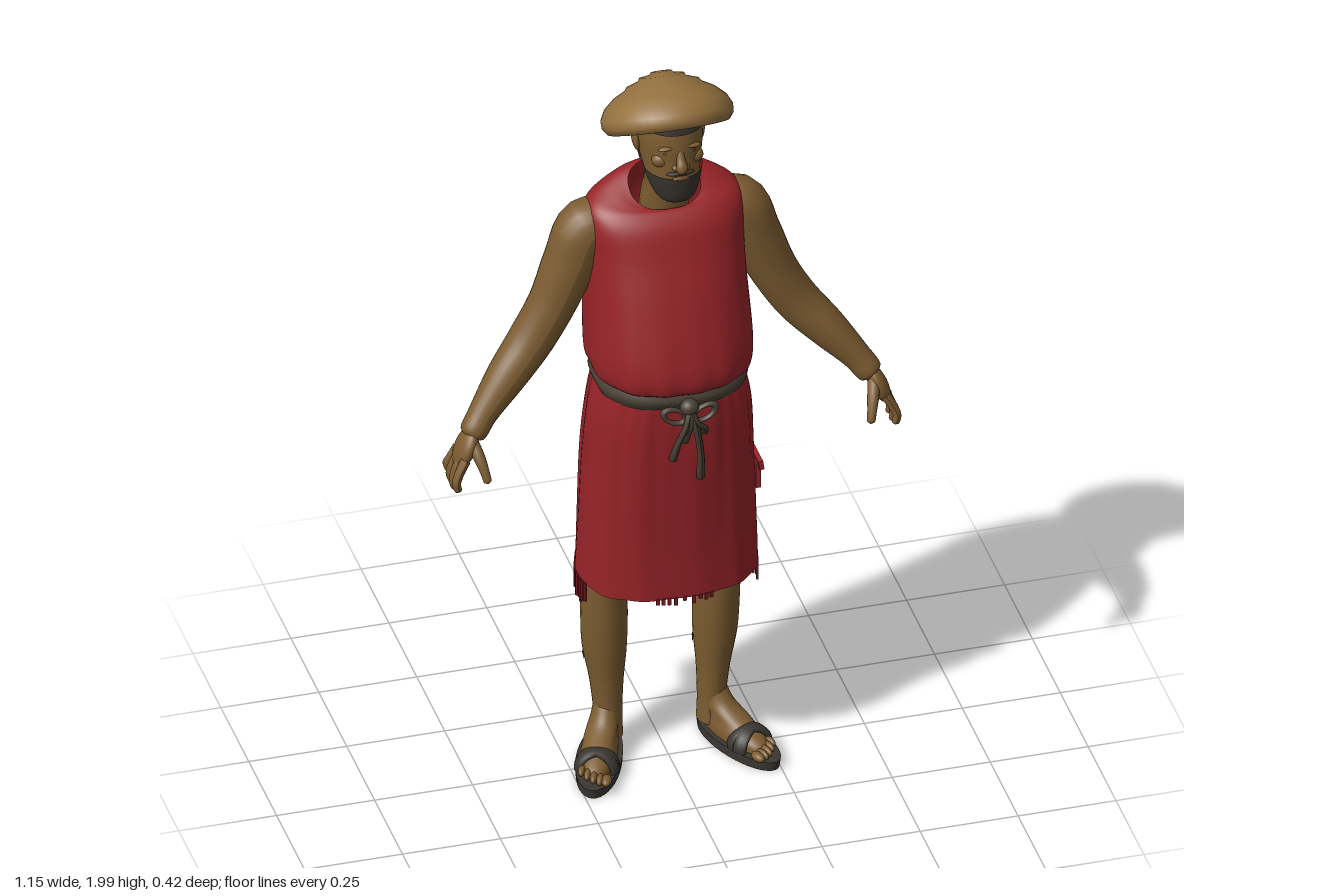
import * as THREE from 'three';
import { mergeGeometries } from 'three/addons/utils/BufferGeometryUtils.js';

const mat = (name, color, side = THREE.FrontSide) => {
  const m = new THREE.MeshStandardMaterial({ color, side });
  m.name = name;
  return m;
};
const skin = mat('skin', 0x7c5c31);
const cloth = mat('red cloth', 0x962328, THREE.DoubleSide);
const thread = mat('dark red thread', 0x7c1b20);
const straw = mat('straw', 0x94713f, THREE.DoubleSide);
const hair = mat('dark hair', 0x37322c, THREE.DoubleSide);
const leather = mat('belt leather', 0x4a4236, THREE.DoubleSide);
const sandal = mat('sandal', 0x3b3733);
const lip = mat('lip', 0x684327);

// Catmull-Rom sampling of a list of number rows
function sample(rows, t) {
  const last = rows.length - 1;
  const i = Math.min(Math.floor(t), last - 1), u = t - i;
  const at = k => rows[Math.max(0, Math.min(last, k))];
  const [a, b, c, d] = [at(i - 1), at(i), at(i + 1), at(i + 2)];
  return b.map((_, k) => b[k] + 0.5 * u * (c[k] - a[k] + u * (2 * a[k] - 5 * b[k] + 4 * c[k] - d[k]
    + u * (3 * (b[k] - c[k]) + d[k] - a[k]))));
}

// Point on a rounded cross-section [y, x, z, rx, rz, tilt]; angle 0 is the front
function ringPoint([y, x, z, rx, rz, tilt = 0], a, p, f = 1) {
  const pw = v => Math.sign(v) * Math.abs(v) ** (2 / p);
  const dz = rz * f * pw(Math.cos(a));
  return [x + rx * f * pw(Math.sin(a)), y + tilt * dz, z + dz];
}

// Skin stretched over horizontal cross-sections, listed from bottom to top
function loft(rows, { n = 48, steps = 5, p = 2, t0 = 0, t1 = rows.length - 1, arc = null, grow = 0, fold = null } = {}) {
  const pos = [], idx = [], m = Math.ceil((t1 - t0) * steps), cols = arc ? n + 1 : n;
  for (let i = 0; i <= m; i++) {
    const t = t0 + (t1 - t0) * i / m, row = sample(rows, t);
    row[3] += grow; row[4] += grow;
    for (let j = 0; j < cols; j++) {
      const a = arc ? arc[0] + (arc[1] - arc[0]) * j / n : j / n * Math.PI * 2;
      pos.push(...ringPoint(row, a, p, fold ? fold(a, t) : 1));
    }
  }
  for (let i = 0; i < m; i++) for (let j = 0; j < n; j++) {
    const a = i * cols + j, b = i * cols + (j + 1) % cols;
    idx.push(a, b, a + cols, b, b + cols, a + cols);
  }
  const g = new THREE.BufferGeometry();
  g.setAttribute('position', new THREE.Float32BufferAttribute(pos, 3));
  g.setIndex(idx);
  g.computeVertexNormals();
  return g;
}

// Tube of varying radius through [x, y, z, r] points, rounded at its far end
function limb(points, radial = 16, per = 5) {
  const [q, w] = points.slice(-2).reverse();
  const d = new THREE.Vector3(q[0] - w[0], q[1] - w[1], q[2] - w[2]).setLength(q[3] * 0.6);
  const pts = [...points, [q[0] + d.x, q[1] + d.y, q[2] + d.z, 0.0005]];
  const curve = new THREE.CatmullRomCurve3(pts.map(v => new THREE.Vector3(v[0], v[1], v[2])));
  curve.getPointAt = curve.getPoint;
  curve.getTangentAt = curve.getTangent;
  const seg = (pts.length - 1) * per, g = new THREE.TubeGeometry(curve, seg, 1, radial);
  const P = g.attributes.position, v = new THREE.Vector3();
  for (let i = 0; i <= seg; i++) {
    const c = curve.getPoint(i / seg), r = Math.max(0.0005, sample(pts, i / per)[3]);
    for (let j = 0; j <= radial; j++) {
      const k = i * (radial + 1) + j;
      v.fromBufferAttribute(P, k).sub(c).multiplyScalar(r).add(c);
      P.setXYZ(k, v.x, v.y, v.z);
    }
  }
  g.computeVertexNormals();
  return g;
}

const blob = (x, y, z, rx, ry, rz, tiltZ = 0) =>
  new THREE.SphereGeometry(1, 18, 12).scale(rx, ry, rz).rotateZ(tiltZ).translate(x, y, z);

export function createModel() {
  const root = new THREE.Group();
  const add = (name, geo, material, parent = root) => {
    const m = new THREE.Mesh(geo, material);
    m.name = name;
    parent.add(m);
    return m;
  };

  // Tunic, gathered over the belt, with a crease down the back
  const tunic = [[1.165, 0, 0, 0.18, 0.168], [1.185, 0, 0, 0.2, 0.192], [1.25, 0, -0.005, 0.206, 0.194],
    [1.4, 0, -0.035, 0.2, 0.178], [1.5, 0, -0.045, 0.198, 0.148], [1.58, 0, -0.05, 0.202, 0.12],
    [1.625, 0, -0.053, 0.187, 0.093, -0.1], [1.652, 0, -0.048, 0.135, 0.076, -0.4],
    [1.658, 0, -0.037, 0.09, 0.062, -0.62]].map(r => [...r, 0].slice(0, 6));
  add('tunic', loft(tunic, { n: 96, p: 2.35, fold: (a, t) => {
    const low = Math.max(0, 1 - t / 3.5), back = Math.exp(-(((a - Math.PI) / 0.1) ** 2));
    return 1 + 0.014 * low * Math.sin(14 * a + 2 * Math.sin(3 * a)) - 0.07 * back * Math.min(1, t / 3) * (t < 7 ? 1 : 0);
  } }), cloth);

  // Skirt with soft hanging folds
  const skirt = [[0.555, 0, -0.025, 0.223, 0.174], [0.7, 0, -0.025, 0.218, 0.174], [0.9, 0, -0.02, 0.21, 0.178],
    [1.05, 0, -0.005, 0.2, 0.168], [1.14, 0, 0, 0.183, 0.16]];
  const skirtFold = (a, t) => 1 + 0.011 * Math.sin(11 * a + Math.sin(2 * a + t)) + 0.008 * (t / 4) * Math.sin(26 * a);
  add('skirt', loft(skirt, { n: 120, p: 2.5, fold: skirtFold }), cloth);

  // Frayed hem: long at the sides and back, short at the front
  const fringe = [];
  for (let i = 0; i < 110; i++) {
    const a = i / 110 * Math.PI * 2, wob = Math.abs(Math.sin(i * 12.9898) * 43758.5) % 1;
    const [x, y, z] = ringPoint(skirt[0], a, 2.5, skirtFold(a, 0));
    const len = z < 0.03 ? 0.035 + 0.04 * wob : Math.abs(x) < 0.08 ? 0.012 + 0.012 * wob : 0;
    if (len) fringe.push(new THREE.BoxGeometry(0.009, len, 0.005).rotateY(a).translate(x, y + 0.004 - len / 2, z));
  }
  add('hemFringe', mergeGeometries(fringe), thread);

  // Side pocket with flap
  add('pocket', new THREE.BoxGeometry(0.012, 0.07, 0.17).translate(0.214, 0.815, -0.03), cloth);
  add('pocketFlap', new THREE.BoxGeometry(0.012, 0.025, 0.19).rotateZ(0.15).translate(0.219, 0.85, -0.03), cloth);

  // Belt, knot and hanging ends
  add('belt', loft([[1.125, 0, 0, 0.186, 0.167], [1.15, 0, 0, 0.195, 0.178], [1.178, 0, 0, 0.187, 0.168]],
    { p: 2.35, fold: a => 1 + 0.006 * Math.sin(9 * a) }), leather);
  add('beltKnot', blob(0, 1.14, 0.188, 0.024, 0.022, 0.022), leather);
  for (const s of [-1, 1]) {
    add('beltLoop', new THREE.TorusGeometry(0.026, 0.008, 8, 20).scale(1.2, 0.7, 1).rotateZ(s * 0.5)
      .translate(s * 0.038, 1.12, 0.19), leather);
  }
  [[-0.035, 0.98], [0.035, 0.915], [-0.005, 1.03], [0.045, 1.05]].forEach(([x, y]) => add('beltEnd', limb([
    [0, 1.14, 0.195, 0.009], [x * 0.3, 1.1, 0.205, 0.009], [x * 0.8, (1.1 + y) / 2, 0.19, 0.009], [x, y, 0.165, 0.011]], 8), leather));

  // Neck and head
  add('neck', limb([[0, 1.56, -0.05, 0.062], [0, 1.63, -0.035, 0.06], [0, 1.69, -0.02, 0.055], [0, 1.75, -0.01, 0.055]]), skin);
  const head = [[1.68, 0, 0.065, 0.012, 0.014], [1.695, 0, 0.058, 0.042, 0.045], [1.74, 0, 0.03, 0.064, 0.08],
    [1.8, 0, 0.007, 0.075, 0.104], [1.86, 0, 0.006, 0.079, 0.104], [1.92, 0, 0.008, 0.07, 0.088],
    [1.95, 0, 0.01, 0.04, 0.05], [1.958, 0, 0.01, 0.002, 0.002]];
  add('head', loft(head, { p: 2.2 }), skin);
  add('beard', loft(head, { p: 2.2, t1: 2.45, arc: [-1.4, 1.4], grow: 0.005 }), hair);
  add('moustache', blob(0, 1.778, 0.108, 0.036, 0.006, 0.01), hair);
  add('mouth', blob(0, 1.764, 0.112, 0.022, 0.006, 0.007), lip);
  add('backHair', loft(head, { p: 2.2, t0: 2.2, t1: 5.3, arc: [1.95, Math.PI * 2 - 1.95], grow: 0.006 }), hair);
  add('foreheadHair', loft(head, { p: 2.2, t0: 4.45, t1: 6, arc: [-2, 2], grow: 0.006 }), hair);
  add('nose', limb([[0, 1.845, 0.1, 0.009], [0, 1.82, 0.112, 0.011], [0, 1.8, 0.122, 0.015], [0, 1.793, 0.118, 0.012]], 12), skin);
  for (const s of [-1, 1]) {
    add('nostril', blob(s * 0.013, 1.796, 0.11, 0.009, 0.008, 0.011), skin);
    add('brow', blob(s * 0.033, 1.85, 0.1, 0.022, 0.006, 0.01, -s * 0.1), skin);
    add('eye', blob(s * 0.031, 1.834, 0.1, 0.011, 0.004, 0.004), hair);
    add('cheek', blob(s * 0.042, 1.808, 0.08, 0.024, 0.02, 0.02), skin);
    add('ear', blob(s * 0.083, 1.82, -0.005, 0.009, 0.03, 0.019, -s * 0.15), skin);
  }

  // Stepped straw hat tipped towards the back
  const rim = [[0.085, 0.075], [0.12, 0.035], [0.135, -0.005], [0.152, -0.004], [0.164, 0.012], [0.165, 0.032],
    [0.152, 0.058], [0.125, 0.082], [0.095, 0.098], [0.09, 0.106], [0.06, 0.116], [0.056, 0.124], [0.03, 0.128],
    [0.026, 0.134], [0, 0.136]].map(([r, h]) => new THREE.Vector2(r, h));
  const hat = add('strawHat', new THREE.LatheGeometry(rim, 40), straw);
  hat.position.set(0, 1.85, 0);
  hat.rotation.x = -0.52;

  for (const s of [-1, 1]) {
    const side = s > 0 ? 'left' : 'right';
    const mir = pts => pts.map(([x, ...r]) => [s * x, ...r]);

    // Arm
    add(side + 'Arm', limb(mir([[0.12, 1.555, -0.06, 0.05], [0.19, 1.555, -0.06, 0.069], [0.233, 1.46, -0.058, 0.068],
      [0.283, 1.345, -0.052, 0.06], [0.34, 1.25, -0.045, 0.057], [0.41, 1.17, -0.02, 0.05],
      [0.475, 1.095, 0.008, 0.037], [0.508, 1.05, 0.025, 0.032]]), 24), skin);

    // Hand with four fingers and a thumb
    const hand = new THREE.Group();
    hand.name = side + 'Hand';
    root.add(hand);
    add('palm', blob(s * 0.527, 1.015, 0.028, 0.023, 0.058, 0.043, s * 0.4), skin, hand);
    [0, 1, 2, 3].forEach(i => {
      const z = -0.006 + i * 0.023, drop = [0.018, 0.004, 0, 0.008][i];
      add('finger', limb(mir([[0.535, 1.0, z, 0.013], [0.555, 0.965, z * 1.15 - 0.002, 0.012],
        [0.562, 0.935 + drop, z * 1.25 - 0.004, 0.011], [0.558, 0.915 + drop, z * 1.25 - 0.003, 0.009]]), 10, 4), skin, hand);
    });
    add('thumb', limb(mir([[0.512, 1.035, 0.045, 0.016], [0.502, 1.005, 0.072, 0.015],
      [0.494, 0.975, 0.09, 0.012], [0.489, 0.952, 0.099, 0.01]]), 10, 4), skin, hand);

    // Leg with a dark band behind the calf
    const leg = [[0.04, 0.13, -0.08, 0.035, 0.044], [0.1, 0.132, -0.08, 0.035, 0.043], [0.2, 0.136, -0.08, 0.042, 0.05],
      [0.3, 0.141, -0.08, 0.055, 0.062], [0.4, 0.143, -0.076, 0.058, 0.068], [0.5, 0.145, -0.072, 0.057, 0.073],
      [0.64, 0.13, -0.06, 0.075, 0.085]].map(([y, x, ...r]) => [y, s * x, ...r]);
    add(side + 'Leg', loft(leg, { n: 28 }), skin);
    add(side + 'CalfBand', loft(leg, { n: 20, t0: 2.5, t1: 2.72, arc: [1.9, Math.PI * 2 - 1.9], grow: 0.003 }), hair);

    // Foot in a strapped sandal, turned outwards
    const foot = new THREE.Group();
    foot.name = side + 'Foot';
    foot.position.set(s * 0.178, 0, 0.003);
    foot.rotation.y = s * 0.39;
    root.add(foot);
    add('sole', new THREE.CylinderGeometry(1, 0.97, 0.026, 36).scale(0.057, 1, 0.152).translate(0, 0.013, 0), sandal, foot);
    add('instep', loft([[0.02, 0, -0.01, 0.044, 0.12], [0.045, 0, -0.015, 0.045, 0.112], [0.07, 0, -0.04, 0.04, 0.085],
      [0.1, -s * 0.006, -0.08, 0.036, 0.058], [0.135, -s * 0.01, -0.095, 0.034, 0.044]], { n: 28 }), skin, foot);
    for (let i = 0; i < 5; i++) {
      add('toe', blob(s * (-0.032 + i * 0.0165), 0.036, 0.118 - i * i * 0.0024, i ? 0.009 : 0.013, 0.012, 0.022), skin, foot);
    }
    for (const k of [-1, 1]) {
      add('strap', new THREE.TorusGeometry(0.047, 0.008, 8, 20, Math.PI).scale(1.05, 0.95, 2.4)
        .rotateY(k * 0.35).translate(0, 0.026, 0.045), sandal, foot);
    }
  }
  return root;
}
